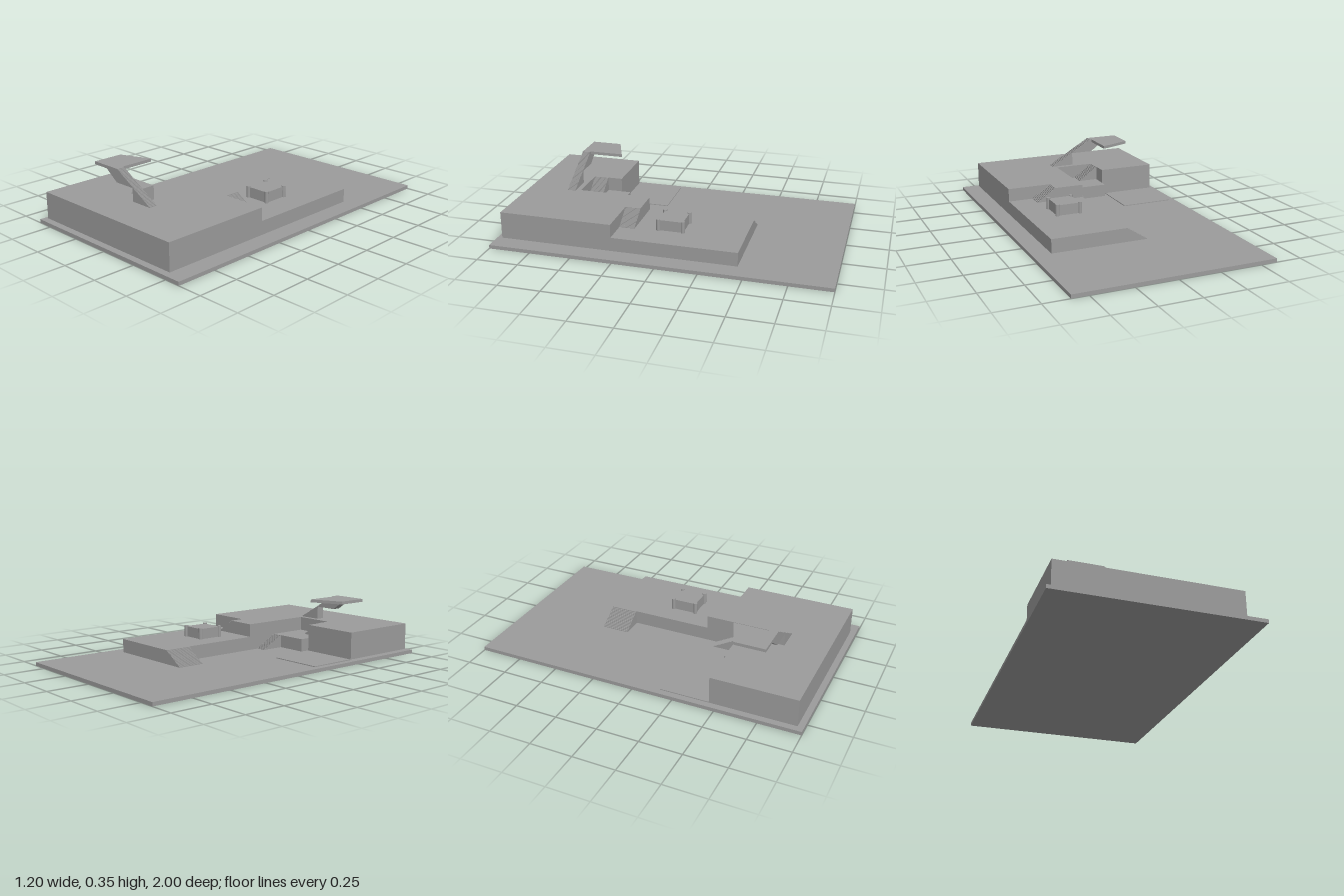
import * as THREE from 'three';

const GROUND = 0.022, FLOOR = 0.027, LOW = 0.11, MID = 0.105, HIGH = 0.19;

export function createModel() {
  const model = new THREE.Group();
  const material = new THREE.MeshStandardMaterial({ color: 0x9b9b9b });

  const add = (name, geometry, x = 0, y = 0, z = 0) => {
    const mesh = new THREE.Mesh(geometry, material);
    mesh.name = name;
    mesh.position.set(x, y, z);
    model.add(mesh);
    return mesh;
  };
  const extrude = (points, depth) => new THREE.ExtrudeGeometry(
    new THREE.Shape(points.map(([x, y]) => new THREE.Vector2(x, y))),
    { depth, bevelEnabled: false });
  // Box given by its limits
  const block = (name, x0, x1, y0, y1, z0, z1) => add(name,
    new THREE.BoxGeometry(x1 - x0, y1 - y0, z1 - z0), (x0 + x1) / 2, (y0 + y1) / 2, (z0 + z1) / 2);
  // Floor plan of [x, z] corners raised from y0 to y1
  const slab = (name, plan, y0, y1) => add(name,
    extrude(plan.map(([x, z]) => [x, -z]), y1 - y0).rotateX(-Math.PI / 2), 0, y0, 0);
  // Step corners descending from (x0, y0) to (x1, y1)
  const steps = (x0, y0, x1, y1, n) => {
    const points = [];
    for (let i = 0; i < n; i++) {
      const y = y0 + (y1 - y0) * i / n;
      points.push([x0 + (x1 - x0) * i / n, y], [x0 + (x1 - x0) * (i + 1) / n, y]);
    }
    points.push([x1, y1]);
    return points;
  };
  // Solid flight: the high end sits at the position, turned about y
  const stairs = (name, run, rise, width, n, [x, y, z], turn) => {
    add(name, extrude([[0, 0], ...steps(0, rise, run, 0, n)], width), x, y, z).rotation.y = turn;
  };

  // Ground plate and thin pad
  block('groundPlate', -0.598, 0.598, 0, GROUND, -1, 1);
  block('groundPad', -0.56, -0.237, GROUND, FLOOR, 0.162, 0.46);

  // Terraces
  block('lowerTerrace', 0.04, 0.494, FLOOR, LOW, -0.455, 0.286);
  slab('upperTerrace', [[-0.566, 0.966], [0.494, 0.966], [0.494, 0.286], [0.217, 0.286], [0.217, 0.193],
    [0.04, 0.193], [0.04, 0.64], [-0.21, 0.64], [-0.21, 0.46], [-0.566, 0.46]], FLOOR, HIGH);
  block('landing', -0.207, 0.04, FLOOR, MID, 0.403, 0.64);

  // Flights between the levels
  stairs('backStairs', 0.13, LOW - FLOOR, 0.165, 16, [0.04, FLOOR, -0.29], Math.PI);
  stairs('terraceStairs', 0.122, HIGH - LOW, 0.093, 18, [0.217, LOW, 0.193], 0);
  stairs('groundToLandingStairs', 0.143, MID - FLOOR, 0.06, 18, [-0.02, FLOOR, 0.403], Math.PI / 2);
  stairs('landingToTerraceStairs', 0.122, HIGH - MID, 0.09, 18, [-0.21, MID, 0.55], 0);

  // Raised lookout and its cantilevered stair
  slab('lookoutDeck', [[-0.417, 0.72], [-0.217, 0.72], [-0.217, 0.67], [-0.225, 0.67],
    [-0.225, 0.46], [-0.417, 0.535]], 0.334, 0.352);
  add('lookoutStair', extrude([...steps(-0.217, 0.352, 0.058, HIGH, 36),
    [-0.083, HIGH], [-0.083, 0.27], [-0.222, 0.27], [-0.31, 0.334], [-0.217, 0.334]], 0.05), 0, 0, 0.67);

  // Small block with corner posts
  block('kioskBody', 0.174, 0.32, LOW, 0.174, -0.095, 0.055);
  for (const x of [0.175, 0.319]) {
    for (const z of [-0.094, 0.054]) {
      add('kioskPost', new THREE.CylinderGeometry(0.012, 0.012, 0.07, 24), x, LOW + 0.035, z);
    }
  }
  return model;
}
